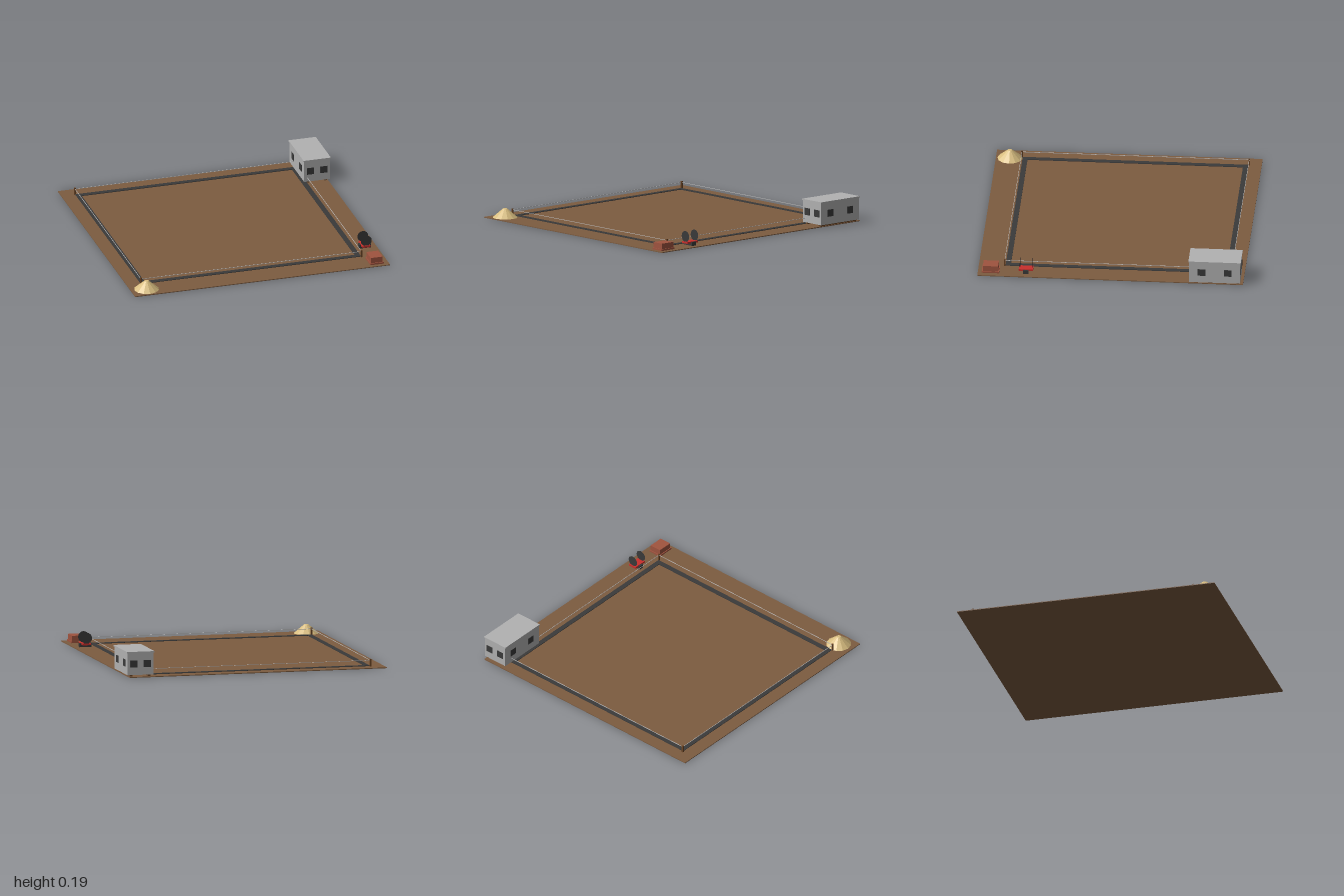
import * as THREE from 'three';

const mat = (name, color, extra = {}) => {
  const m = new THREE.MeshStandardMaterial({ color, ...extra });
  m.name = name;
  return m;
};

export function createModel() {
  const earth = mat('earth', 0x7d5c40);
  const dark = mat('dark grey', 0x3a3a3a, { side: THREE.DoubleSide });
  const wood = mat('wood', 0x6b4526);
  const cord = mat('cord', 0xbcbcbc);
  const wall = mat('cabin grey', 0xb2b2b2);
  const brick = mat('brick', 0xa0543f);
  const sand = mat('sand', 0xd8bd80, { flatShading: true });
  const red = mat('red', 0xc9302c);

  const model = new THREE.Group();
  model.name = 'buildingSite';
  const add = (parent, name, geometry, material, x, y, z) => {
    const mesh = new THREE.Mesh(geometry, material);
    mesh.name = name;
    mesh.position.set(x, y, z);
    parent.add(mesh);
    return mesh;
  };
  // box given by its centre in x and z and its bottom and top in y
  const box = (parent, name, material, w, d, x, z, y0, y1) =>
    add(parent, name, new THREE.BoxGeometry(w, y1 - y0, d), material, x, (y0 + y1) / 2, z);
  const group = (name, x, z) => {
    const g = new THREE.Group();
    g.name = name;
    g.position.set(x, 0, z);
    model.add(g);
    return g;
  };

  // plot of bare earth
  box(model, 'ground', earth, 1.98, 1.98, -0.01, 0, 0, 0.006);

  // foundation ring, with a post at each corner and cord between posts
  const site = group('foundation', -0.04, -0.05);
  for (const s of [-1, 1]) {
    box(site, 'foundationSide', dark, 0.038, 1.682, s * 0.836, 0, 0.004, 0.01);
    box(site, 'foundationEnd', dark, 1.634, 0.038, 0, s * 0.822, 0.004, 0.01);
    box(site, 'sideCord', cord, 0.003, 1.694, s * 0.856, 0, 0.049, 0.052);
    box(site, 'endCord', cord, 1.712, 0.003, 0, s * 0.847, 0.049, 0.052);
    for (const t of [-1, 1])
      box(site, 'cornerPost', wood, 0.012, 0.012, s * 0.856, t * 0.847, 0.004, 0.06);
  }

  // site cabin on two skids, with a pair of windows in every wall
  const cabin = group('cabin', 0.892, -0.78);
  box(cabin, 'cabinBody', wall, 0.2, 0.38, 0, 0, 0.018, 0.185);
  box(cabin, 'cabinRoof', wall, 0.212, 0.39, 0, 0, 0.184, 0.193);
  for (const s of [-1, 1]) {
    box(cabin, 'skid', wood, 0.02, 0.36, s * 0.07, 0, 0.004, 0.019);
    for (const t of [-1, 1]) {
      box(cabin, 'endWindow', dark, 0.056, 0.004, t * 0.052, s * 0.191, 0.075, 0.128);
      box(cabin, 'sideWindow', dark, 0.004, 0.058, s * 0.101, t * 0.098, 0.075, 0.128);
    }
  }

  // heap of sand
  add(model, 'sandHeap', new THREE.CylinderGeometry(0.016, 0.095, 0.068, 12), sand, -0.88, 0.039, 0.885);

  // stack of bricks
  const stack = group('brickStack', 0.888, 0.895);
  box(stack, 'lowerBricks', brick, 0.104, 0.13, 0, 0, 0.004, 0.018);
  box(stack, 'upperBricks', brick, 0.092, 0.114, 0, 0, 0.018, 0.06);

  // small cart: tray on an axle block with a disc at each end
  const cart = group('cart', 0.89, 0.632);
  box(cart, 'cartTray', red, 0.064, 0.106, 0, 0, 0.024, 0.037);
  box(cart, 'cartAxle', dark, 0.092, 0.038, 0, 0, 0.005, 0.034);
  for (const s of [-1, 1])
    add(cart, 'cartDisc', new THREE.CircleGeometry(0.042, 16), dark, 0, 0.075, s * 0.045);

  return model;
}
